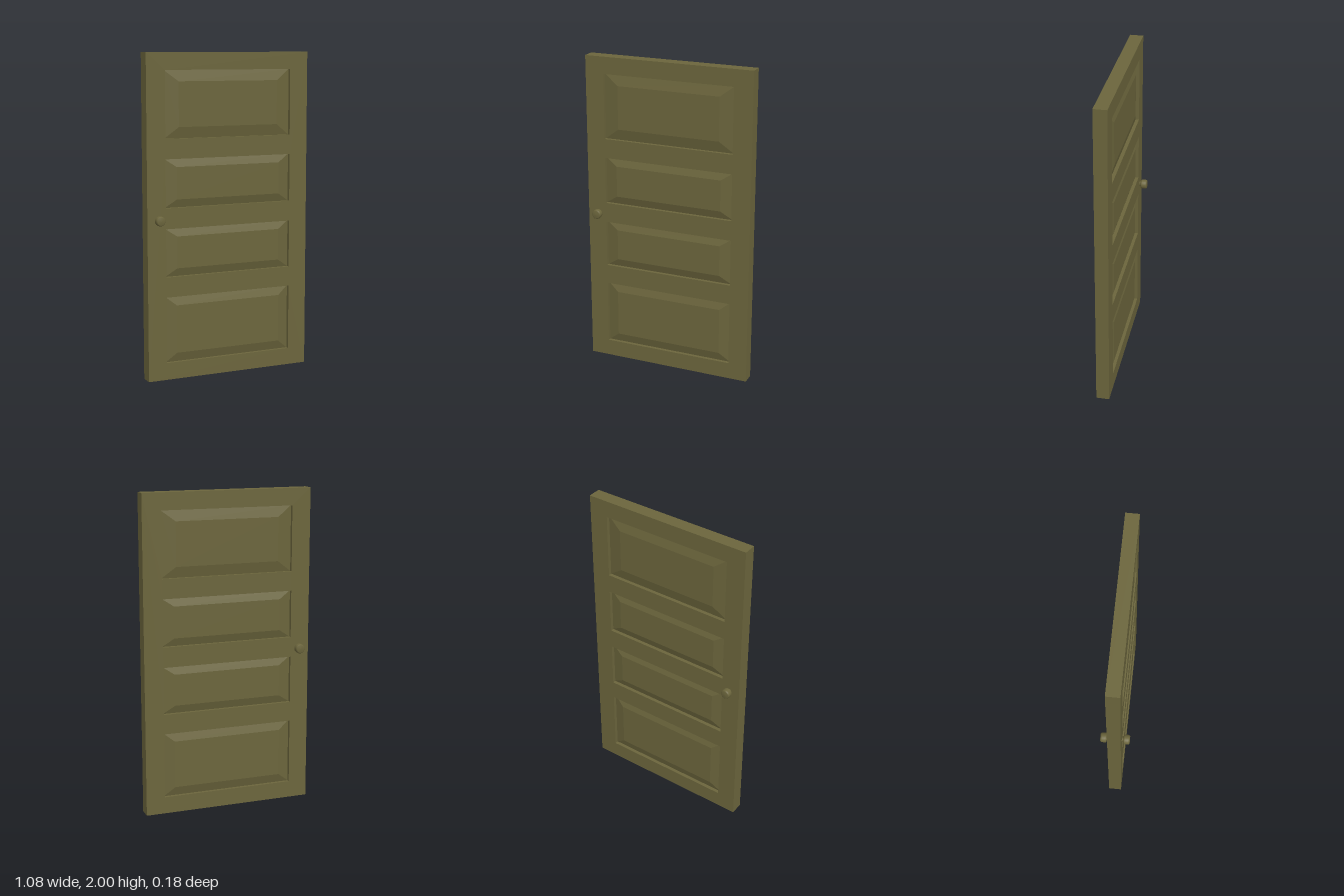
import * as THREE from 'three';

const W = 1.08, H = 2, T = 0.041;      // door width, height, half thickness
const RECESS = 0.022, FIELD = 0.006;   // depth of panel rim and raised field below the frame face
const PW = 0.84;                       // panel width
// bottom, top, bevel width at the sides, bevel width at top and bottom
const PANELS = [
  [0.106, 0.517, 0.07, 0.056],
  [0.642, 0.939, 0.075, 0.05],
  [1.066, 1.363, 0.075, 0.05],
  [1.485, 1.894, 0.09, 0.068],
];

// Raised panel face: four sloping bevels around a flat field, facing +z
function panelGeometry(h, bx, by) {
  const ring = (x, y, z) => [[-x, -y, z], [x, -y, z], [x, y, z], [-x, y, z]];
  const outer = ring(PW / 2, h / 2, T - RECESS);
  const inner = ring(PW / 2 - bx, h / 2 - by, T - FIELD);
  const pos = [];
  const quad = (a, b, c, d) => pos.push(...a, ...b, ...c, ...a, ...c, ...d);
  for (let i = 0; i < 4; i++) {
    const j = (i + 1) % 4;
    quad(outer[i], outer[j], inner[j], inner[i]);
  }
  quad(...inner);
  const g = new THREE.BufferGeometry();
  g.setAttribute('position', new THREE.Float32BufferAttribute(pos, 3));
  g.computeVertexNormals();
  return g;
}

export function createModel() {
  const door = new THREE.Group();
  door.name = 'door';
  const wood = new THREE.MeshStandardMaterial({ color: 0x6b653c });
  const add = (parent, name, geometry) => {
    const m = new THREE.Mesh(geometry, wood);
    m.name = name;
    parent.add(m);
    return m;
  };

  // Frame of stiles and rails with four openings
  const rect = (P, x, y0, y1) => new P([[-x, y0], [x, y0], [x, y1], [-x, y1]].map(p => new THREE.Vector2(...p)));
  const outline = rect(THREE.Shape, W / 2, 0, H);
  for (const [y0, y1] of PANELS) outline.holes.push(rect(THREE.Path, PW / 2, y0, y1));
  add(door, 'frame', new THREE.ExtrudeGeometry(outline, { depth: 2 * T, bevelEnabled: false }).translate(0, 0, -T));

  // Knob profile: stem, then a squat rounded grip
  const profile = [[0.016, T - 0.002], [0.016, 0.05], [0.025, 0.051], [0.029, 0.055], [0.03, 0.06],
    [0.03, 0.079], [0.028, 0.086], [0.023, 0.09], [0, 0.091]].map(p => new THREE.Vector2(...p));
  const knobGeometry = new THREE.LatheGeometry(profile, 24).rotateX(Math.PI / 2);

  // Panels and knob on both faces
  for (const [side, turn] of [['front', 0], ['back', Math.PI]]) {
    const face = new THREE.Group();
    face.name = side + 'Face';
    face.rotation.y = turn;
    PANELS.forEach(([y0, y1, bx, by], i) => {
      add(face, side + 'Panel' + (i + 1), panelGeometry(y1 - y0, bx, by)).position.y = (y0 + y1) / 2;
    });
    add(face, side + 'Knob', knobGeometry).position.set(turn ? 0.469 : -0.469, 0.995, 0);
    door.add(face);
  }
  return door;
}
